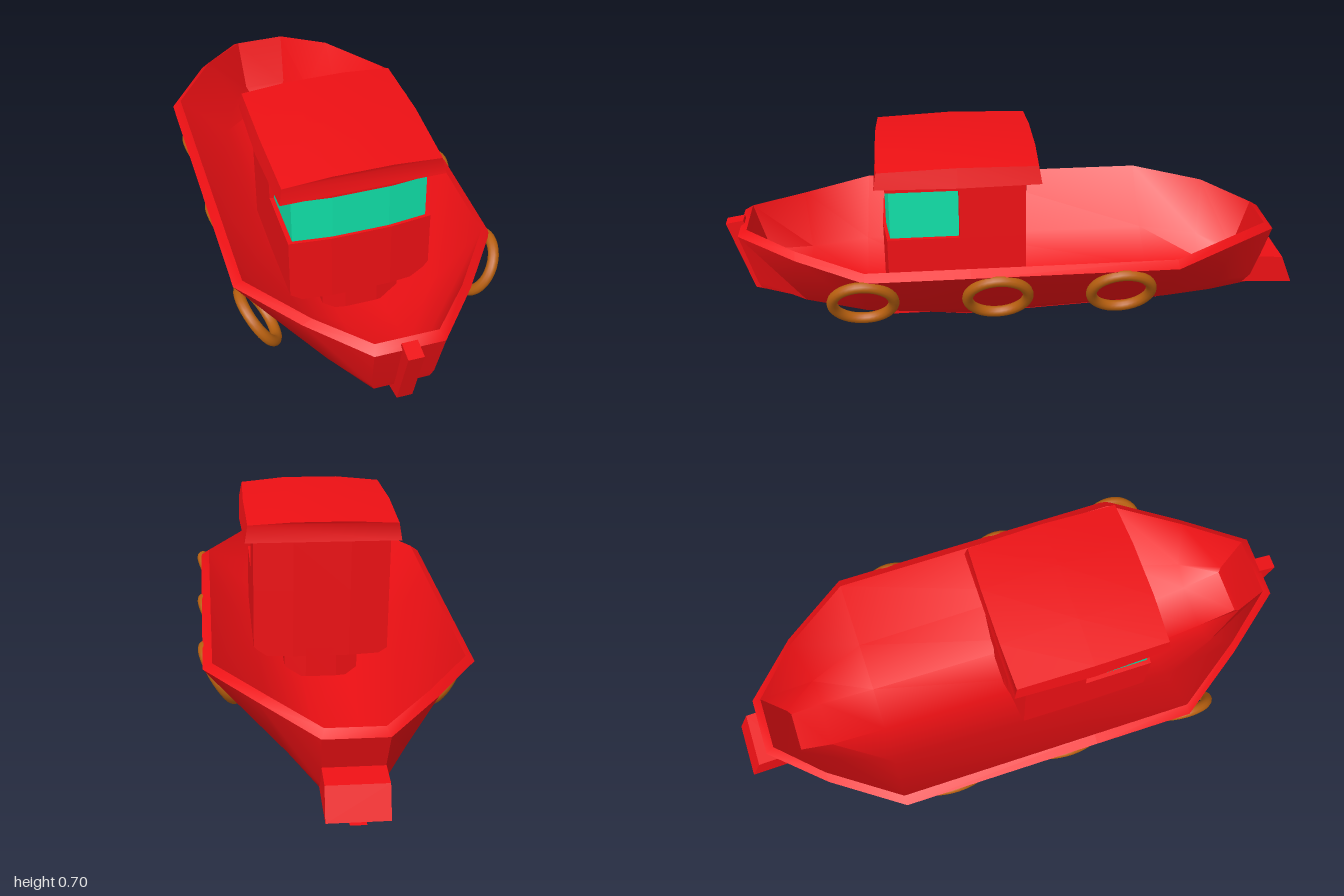
import * as THREE from 'three';
import { toCreasedNormals } from 'three/addons/utils/BufferGeometryUtils.js';

const material = (color) => new THREE.MeshStandardMaterial({ color });

// Triangles from a list of four-cornered faces
function fromQuads(quads) {
  const pos = [];
  for (const [a, b, c, d] of quads) pos.push(...a, ...b, ...c, ...a, ...c, ...d);
  const g = new THREE.BufferGeometry();
  g.setAttribute('position', new THREE.Float32BufferAttribute(pos, 3));
  return toCreasedNormals(g, 0.7);
}

// Half section of three points, mirrored to a six-point section
const mirror = (half) => [...half, ...half.slice().reverse().map(([x, y, z]) => [-x, y, z])];

// Skin over sections, with both ends capped
function loft(halves, { flip = false, closed = false } = {}) {
  const s = halves.map(mirror), quads = [];
  for (let i = 0; i < s.length - 1; i++) {
    for (let j = 0; j < (closed ? 6 : 5); j++) {
      const k = (j + 1) % 6;
      quads.push([s[i][j], s[i][k], s[i + 1][k], s[i + 1][j]]);
    }
  }
  const cap = (p) => [[p[0], p[1], p[4], p[5]], [p[1], p[2], p[3], p[4]]];
  quads.push(...cap(s[0]).map((q) => q.reverse()), ...cap(s[s.length - 1]));
  return flip ? quads.map((q) => q.slice().reverse()) : quads;
}

// Side outline in (z, y), extruded across the width
function sidePlate(points, width) {
  const g = new THREE.ExtrudeGeometry(
    new THREE.Shape(points.map((p) => new THREE.Vector2(...p))),
    { depth: width, bevelEnabled: false });
  g.translate(0, 0, -width / 2);
  return g.rotateY(-Math.PI / 2);
}

// Upright block with slightly bowed front and back walls
function bowedBlock(halfWidth, back, front, y0, y1) {
  const bow = 0.015, h = halfWidth, m = halfWidth * 0.42;
  const plan = [[-h, front - bow], [-m, front], [m, front], [h, front - bow],
    [h, back + bow], [m, back], [-m, back], [-h, back + bow]];
  const shape = new THREE.Shape(plan.map(([x, z]) => new THREE.Vector2(x, -z)));
  const g = new THREE.ExtrudeGeometry(shape, { depth: y1 - y0, bevelEnabled: false });
  return g.rotateX(-Math.PI / 2).translate(0, y0, 0);
}

export function createModel() {
  const model = new THREE.Group();
  model.name = 'tugboat';
  const red = material(0xee1014), glass = material(0x10e0a8), rubber = material(0xb8600f);
  const add = (name, geometry, mat = red, parent = model) => {
    const mesh = new THREE.Mesh(geometry, mat);
    mesh.name = name;
    parent.add(mesh);
    return mesh;
  };

  // Hull sections from bow to stern: rim, chine, bottom edge
  const outer = [
    [[0.11, 0.39, 0.95], [0.1, 0.21, 0.9], [0.09, 0.18, 0.89]],
    [[0.27, 0.37, 0.75], [0.19, 0.18, 0.73], [0.09, 0.13, 0.73]],
    [[0.43, 0.36, 0.52], [0.26, 0.17, 0.53], [0.09, 0.07, 0.53]],
    [[0.43, 0.36, 0.18], [0.27, 0.16, 0.18], [0.09, 0.04, 0.18]],
    [[0.43, 0.36, -0.5], [0.26, 0.17, -0.5], [0.09, 0.07, -0.5]],
    [[0.27, 0.36, -0.73], [0.18, 0.17, -0.7], [0.09, 0.09, -0.7]],
    [[0.1, 0.33, -0.91], [0.09, 0.14, -0.85], [0.08, 0.11, -0.84]],
  ];
  const last = outer.length - 1;
  const inner = outer.map((half, i) => half.map(([x, y, z], j) => {
    const inset = i === 0 ? -0.03 : i === last ? 0.03 : 0;
    const side = i === 0 || i === last ? 0.01 : 0.03;
    return [x - (j === 2 ? 0.01 : side), y + [0.02, 0.03, 0.04][j], z + inset];
  }));
  const rimLoop = (halves) => {
    const right = halves.map((h) => h[0]);
    return [...right, ...right.slice().reverse().map(([x, y, z]) => [-x, y, z])];
  };
  const ro = rimLoop(outer), ri = rimLoop(inner);
  const rim = ro.map((p, i) => {
    const k = (i + 1) % ro.length;
    return [p, ro[k], ri[k], ri[i]];
  });
  // Only the walls' upper edges are open; the end caps serve as bow and stern walls
  add('hullOutside', fromQuads(loft(outer)));
  add('hullInside', fromQuads(loft(inner, { flip: true })));
  add('gunwale', fromQuads(rim));

  // Keel and stem
  add('keel', sidePlate([[1, 0.4], [0.92, 0.15], [0.53, 0.04], [0.18, 0], [-0.5, 0.03], [-1, 0.1],
    [-0.84, 0.12], [-0.5, 0.08], [0.18, 0.05], [0.53, 0.08], [0.88, 0.19], [0.94, 0.41]], 0.05));
  // Block at the stern
  add('sternBlock', sidePlate([[-0.84, 0.22], [-0.96, 0.21], [-1, 0.11], [-0.82, 0.12]], 0.19));

  // Cabin: walls, recessed wrap-around window, rear half and top band
  const cabin = new THREE.Group();
  cabin.name = 'cabin';
  cabin.position.x = 0.01;
  model.add(cabin);
  add('cabinFoot', bowedBlock(0.13, -0.03, 0.46, 0.08, 0.2), red, cabin);
  add('cabinLowerWall', bowedBlock(0.24, -0.03, 0.46, 0.17, 0.42), red, cabin);
  add('cabinWindow', bowedBlock(0.225, 0.15, 0.45, 0.41, 0.6), glass, cabin);
  add('cabinRearWall', bowedBlock(0.24, -0.03, 0.22, 0.42, 0.6), red, cabin);
  add('cabinTopBand', bowedBlock(0.24, -0.03, 0.46, 0.59, 0.63), red, cabin);

  // Crowned roof with flared edges
  add('roof', fromQuads(loft([
    [[0.27, 0.615, -0.065], [0.26, 0.675, -0.055], [0.1, 0.685, -0.06]],
    [[0.28, 0.615, 0.21], [0.265, 0.68, 0.21], [0.1, 0.695, 0.21]],
    [[0.27, 0.615, 0.48], [0.26, 0.67, 0.47], [0.1, 0.685, 0.475]],
  ], { closed: true })), red, cabin);

  // Three tyre fenders along each side
  const tyre = new THREE.TorusGeometry(0.1, 0.018, 12, 36).rotateY(Math.PI / 2);
  for (const [name, x, y, side] of [['left', 0.375, 0.26, 1], ['right', -0.36, 0.23, -1]]) {
    [0.53, 0.09, -0.32].forEach((z, i) => {
      const mesh = add(`${name}Fender${i + 1}`, tyre, rubber);
      mesh.position.set(x, y, z);
      mesh.rotation.z = -side * 0.55;
    });
  }

  // Slight list to one side
  model.rotation.z = 0.015;
  model.position.x = -0.01;
  const root = new THREE.Group();
  root.name = 'boat';
  root.add(model);
  return root;
}
